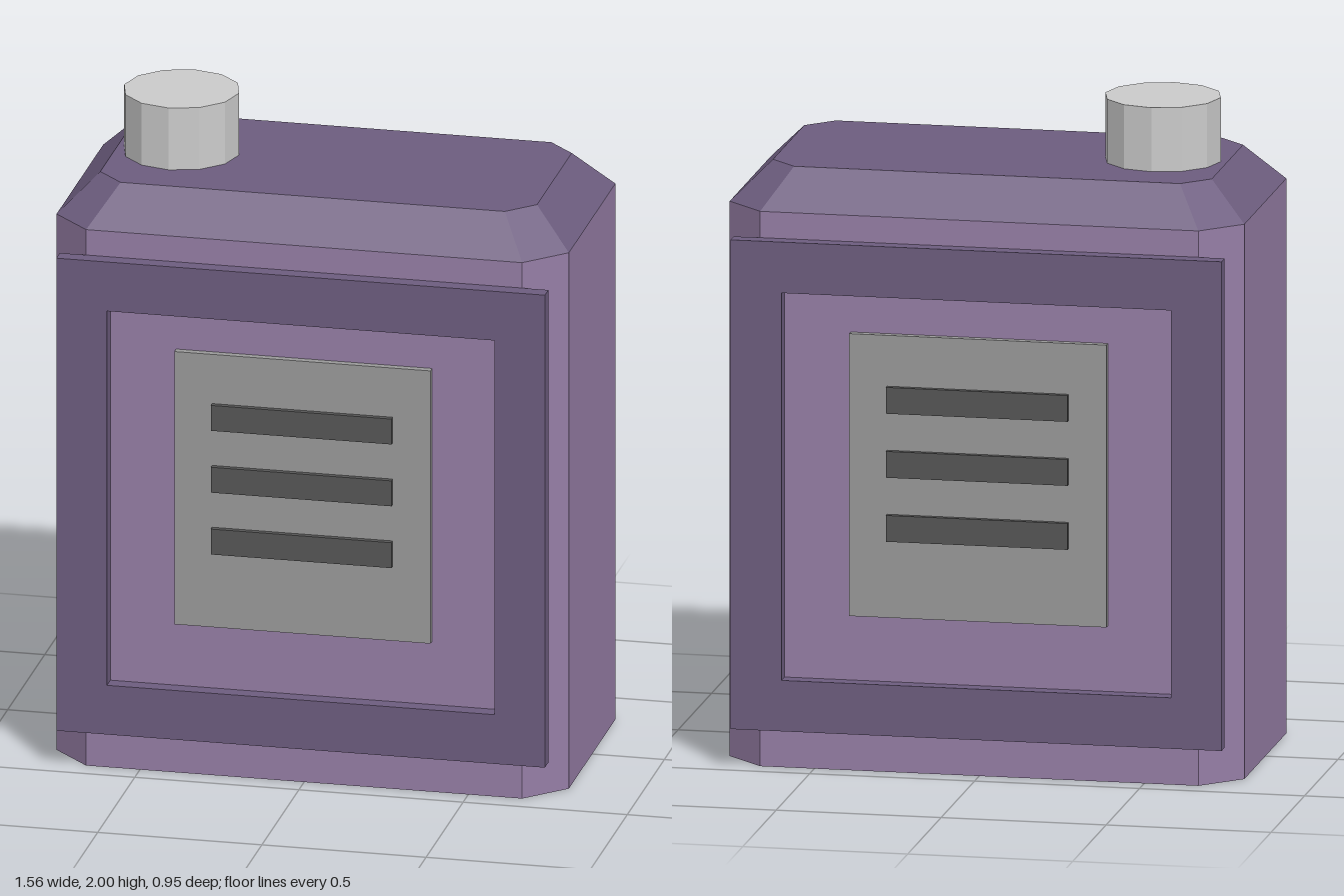
import * as THREE from 'three';
import { ConvexGeometry } from 'three/addons/geometries/ConvexGeometry.js';

const material = (color) => new THREE.MeshStandardMaterial({ color, flatShading: true });

function addPart(parent, name, geometry, mat, x = 0, y = 0, z = 0) {
  const mesh = new THREE.Mesh(geometry, mat);
  mesh.name = name;
  mesh.position.set(x, y, z);
  parent.add(mesh);
  return mesh;
}

// Rectangle with cut corners at height y
function octagonRing(halfX, halfZ, cut, y) {
  const ring = [];
  for (const sx of [-1, 1]) {
    for (const sz of [-1, 1]) {
      ring.push(new THREE.Vector3(sx * (halfX - cut), y, sz * halfZ));
      ring.push(new THREE.Vector3(sx * halfX, y, sz * (halfZ - cut)));
    }
  }
  return ring;
}

function rectangle(PathType, halfX, y0, y1) {
  const path = new PathType();
  path.moveTo(-halfX, y0);
  path.lineTo(halfX, y0);
  path.lineTo(halfX, y1);
  path.lineTo(-halfX, y1);
  path.closePath();
  return path;
}

export function createModel() {
  const model = new THREE.Group();
  model.name = 'canister';

  const light = material(0x967ea6);
  const dark = material(0x6d5d7f);
  const metal = material(0xcccccc);
  const plateGrey = material(0x9a9a9a);
  const slatGrey = material(0x565656);

  // Body with cut vertical corners, and a bevelled lid
  const bodyTop = octagonRing(0.78, 0.43, 0.116, 1.69);
  addPart(model, 'body',
    new ConvexGeometry([...octagonRing(0.78, 0.43, 0.116, 0), ...bodyTop]), light);
  addPart(model, 'lid',
    new ConvexGeometry([...bodyTop, ...octagonRing(0.665, 0.314, 0.08, 1.805)]), dark);

  // Twelve-sided filler cap
  addPart(model, 'cap', new THREE.CylinderGeometry(0.175, 0.175, 0.2, 12), metal, -0.47, 1.9, 0);

  // Raised frame, plate and slats, the same on front and back
  const frameShape = rectangle(THREE.Shape, 0.744, 0.12, 1.61);
  frameShape.holes.push(rectangle(THREE.Path, 0.59, 0.275, 1.455));
  const frameGeometry = new THREE.ExtrudeGeometry(frameShape, { depth: 0.047, bevelEnabled: false });
  const plateGeometry = new THREE.BoxGeometry(0.78, 0.86, 0.03);
  const slatGeometry = new THREE.BoxGeometry(0.55, 0.08, 0.03);

  for (const [name, angle] of [['frontPanel', 0], ['backPanel', Math.PI]]) {
    const panel = new THREE.Group();
    panel.name = name;
    panel.rotation.y = angle;
    addPart(panel, 'frame', frameGeometry, dark, 0, 0, 0.43);
    addPart(panel, 'plate', plateGeometry, plateGrey, 0, 0.905, 0.438);
    for (const y of [0.75, 0.945, 1.14]) {
      addPart(panel, 'slat', slatGeometry, slatGrey, 0, y, 0.455);
    }
    model.add(panel);
  }

  return model;
}
